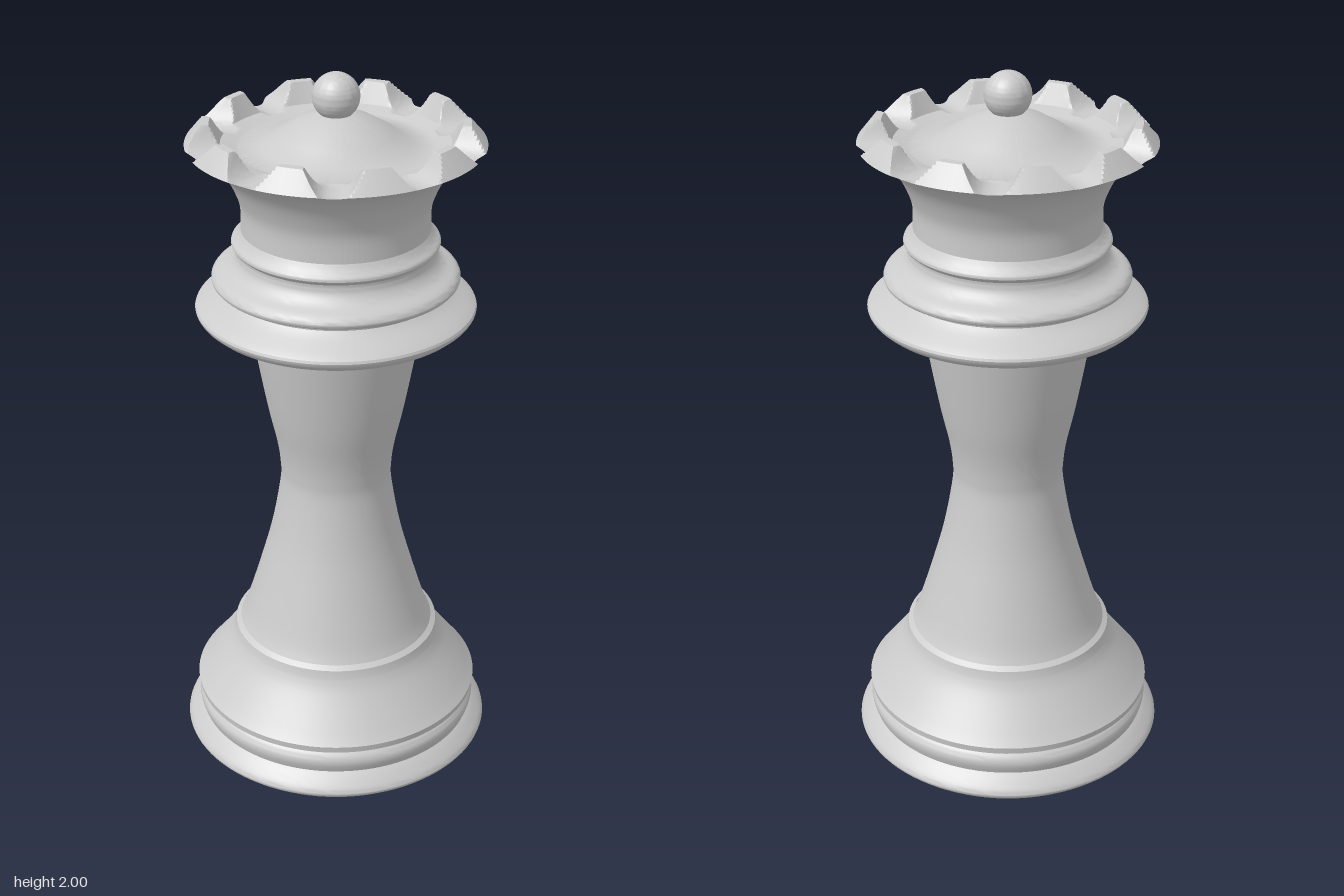
import * as THREE from 'three';
import { toCreasedNormals } from 'three/addons/utils/BufferGeometryUtils.js';

const material = new THREE.MeshStandardMaterial({ color: 0xcccccc });
const points = (list) => list.map(([r, y]) => new THREE.Vector2(r, y));
const smooth = (list, n) => new THREE.SplineCurve(points(list)).getPoints(n);

function addPart(group, name, geometry, crease = 0.5) {
  const mesh = new THREE.Mesh(toCreasedNormals(geometry, crease), material);
  mesh.name = name;
  group.add(mesh);
  return mesh;
}

const turned = (profile, segments = 96) => new THREE.LatheGeometry(profile, segments);

// Split every straight stretch of a profile into n steps
function subdivide(profile, n) {
  const out = [profile[0]];
  for (let i = 1; i < profile.length; i++) {
    for (let k = 1; k <= n; k++) out.push(profile[i - 1].clone().lerp(profile[i], k / n));
  }
  return out;
}

// Flared bowl with scallops cut into its rim
function crownGeometry(notches) {
  const flare = smooth([[0.25, 1.58], [0.25, 1.645], [0.263, 1.69], [0.285, 1.735], [0.315, 1.772], [0.344, 1.793]], 20);
  const rim = subdivide(points([[0.344, 1.793], [0.39, 1.816], [0.347, 1.87], [0.325, 1.87], [0.298, 1.815], [0.25, 1.802]]), 6);
  const dome = points([[0.195, 1.812], [0.15, 1.842], [0.1, 1.872], [0.05, 1.891], [0, 1.898]]);
  const geometry = turned([...flare.slice(0, -1), ...rim, ...dome], notches * 32);
  const pos = geometry.attributes.position;
  const step = (Math.PI * 2) / notches;
  for (let i = 0; i < pos.count; i++) {
    const x = pos.getX(i), y = pos.getY(i), z = pos.getZ(i);
    const r = Math.hypot(x, z);
    if (r < 0.28) continue;
    const angle = Math.atan2(x, z);
    const across = Math.abs(r * Math.sin(angle - Math.round(angle / step) * step));
    const floor = 1.805 + 0.065 * (across / 0.072) ** 2.5;
    if (y <= floor) continue;
    // Lower the point to the notch floor and keep it inside the flare
    const limit = Math.min(0.39, 0.344 + (floor - 1.793) * 2);
    const s = Math.min(r, limit) / r;
    pos.setXYZ(i, x * s, floor, z * s);
  }
  return geometry;
}

export function createModel() {
  const group = new THREE.Group();

  // Stepped foot
  addPart(group, 'base', turned([
    ...points([[0, 0], [0.11, 0], [0.11, 0.01], [0.385, 0.012]]),
    ...smooth([[0.405, 0.018], [0.43, 0.04], [0.434, 0.052], [0.422, 0.07], [0.4, 0.092]], 12),
    ...smooth([[0.392, 0.098], [0.4, 0.125], [0.396, 0.145], [0.385, 0.158]], 8),
    ...points([[0.385, 0.165], [0.4, 0.17], [0.402, 0.188], [0.39, 0.202]]),
    ...smooth([[0.39, 0.202], [0.34, 0.267], [0.308, 0.312], [0.293, 0.342]], 10).slice(1),
    ...points([[0.288, 0.365], [0.274, 0.375]]),
  ]));

  // Waisted stem
  addPart(group, 'stem', turned(smooth([
    [0.275, 0.372], [0.255, 0.42], [0.215, 0.55], [0.18, 0.68], [0.155, 0.82],
    [0.154, 0.88], [0.163, 0.95], [0.185, 1.05], [0.211, 1.19], [0.237, 1.345],
  ], 40)));

  // Three stacked rings under the crown
  addPart(group, 'collar', turned([
    ...points([[0.2, 1.336], [0.355, 1.336]]),
    ...smooth([[0.355, 1.336], [0.372, 1.352], [0.374, 1.368], [0.35, 1.385], [0.315, 1.406], [0.298, 1.42]], 12).slice(1),
    ...smooth([[0.3, 1.428], [0.325, 1.437], [0.33, 1.45], [0.318, 1.465], [0.285, 1.482], [0.266, 1.505], [0.262, 1.525]], 18),
    ...smooth([[0.263, 1.53], [0.275, 1.541], [0.274, 1.552], [0.262, 1.563], [0.25, 1.582]], 10),
  ]));

  addPart(group, 'crown', crownGeometry(10));

  const finial = addPart(group, 'finial', new THREE.SphereGeometry(0.062, 48, 32));
  finial.position.y = 1.938;

  return group;
}
